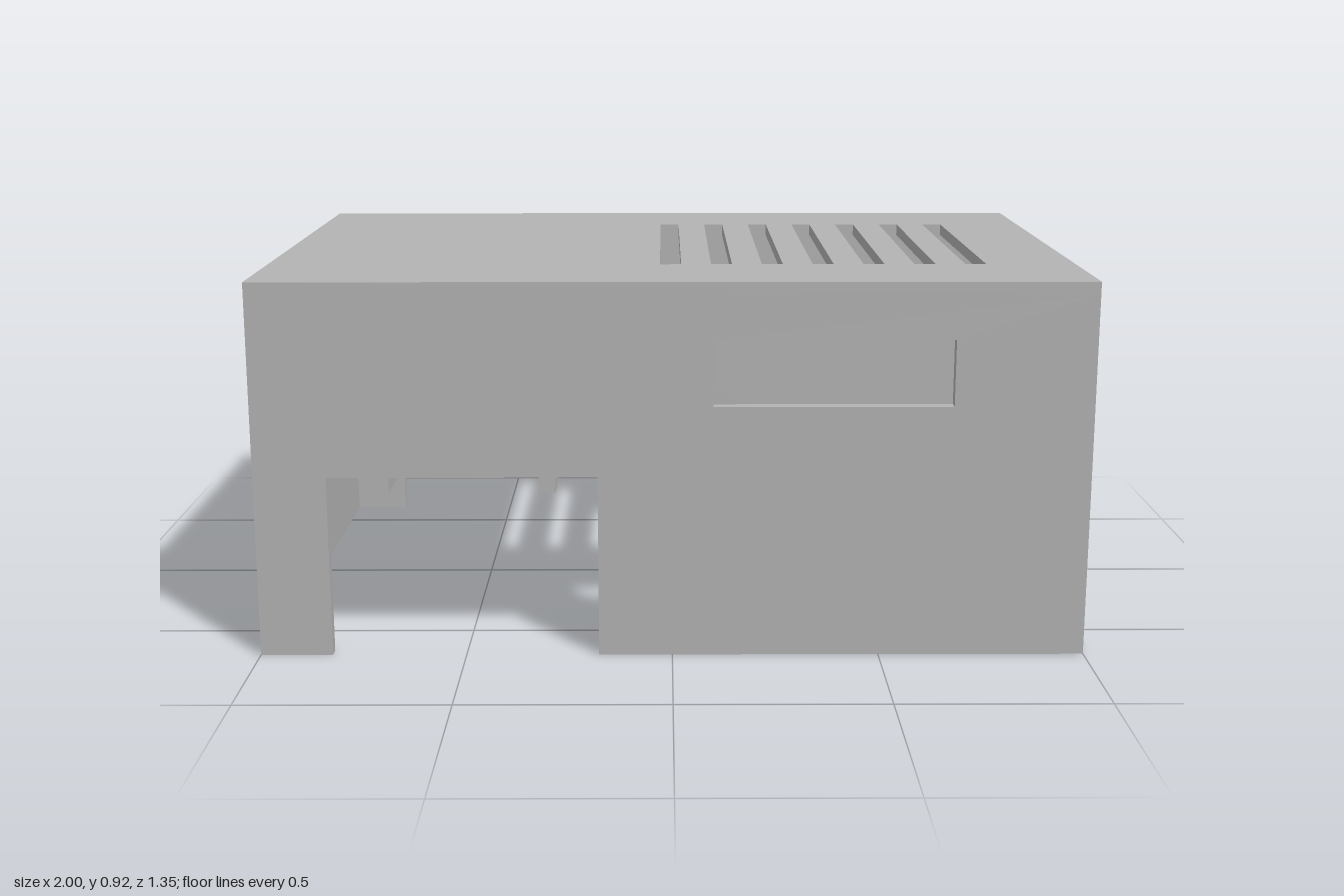
import * as THREE from 'three';

const W = 1, H = 0.915, D = 0.675, T = 0.03; // half width, height, half depth, wall

function rectPath(x0, y0, x1, y1, P = THREE.Path) {
  const p = new P();
  p.moveTo(x0, y0);
  p.lineTo(x1, y0);
  p.lineTo(x1, y1);
  p.lineTo(x0, y1);
  p.closePath();
  return p;
}
const rectShape = (x0, y0, x1, y1) => rectPath(x0, y0, x1, y1, THREE.Shape);

function circlePath(x, y, r) {
  const p = new THREE.Path();
  p.absarc(x, y, r, 0, Math.PI * 2, true);
  return p;
}

function extrude(shape, depth, holes = []) {
  shape.holes.push(...holes);
  return new THREE.ExtrudeGeometry(shape, { depth, bevelEnabled: false, curveSegments: 16 });
}

export function createModel() {
  const group = new THREE.Group();
  const grey = new THREE.MeshStandardMaterial({ color: 0xb3b3b3 });
  grey.name = 'plain grey';
  const add = (name, geometry) => {
    const mesh = new THREE.Mesh(geometry, grey);
    mesh.name = name;
    group.add(mesh);
  };

  // Top panel with seven vent slots
  const slots = [];
  for (let i = 0; i < 7; i++) {
    const x = -0.003 + i * 0.126;
    slots.push(rectPath(x - 0.026, -0.39, x + 0.026, 0.4));
  }
  add('topPanel', extrude(rectShape(-W, -D, W, D), T, slots).rotateX(-Math.PI / 2).translate(0, H - T, 0));

  // Front and back walls, each with a wheel opening; the front also has a window
  const notchedWall = () => new THREE.Shape([
    [-W, 0], [-0.825, 0], [-0.825, 0.445], [-0.178, 0.445], [-0.178, 0],
    [W, 0], [W, H - T], [-W, H - T],
  ].map(([x, y]) => new THREE.Vector2(x, y)));
  add('frontWall', extrude(notchedWall(), T, [rectPath(0.097, 0.617, 0.667, 0.778)]).translate(0, 0, D - T));
  add('backWall', extrude(notchedWall(), T).translate(0, 0, -D));

  // End walls: screwdriver holes, slot on one end, cable and mounting holes on the other
  const accessHoles = () => [-0.6, -0.345, 0.345, 0.6].map((u) => circlePath(u, 0.545, 0.04));
  const endWall = (name, holes, x) => add(name,
    extrude(rectShape(-D + T, 0, D - T, H - T), T, [...accessHoles(), ...holes])
      .rotateY(Math.PI / 2).translate(x, 0, 0));
  endWall('leftEndWall', [rectPath(-0.13, 0.65, 0.13, 0.745)], W - T);
  const mountHoles = [-0.215, 0.215].flatMap((u) => [0.275, 0.627].map((y) => circlePath(u, y, 0.016)));
  endWall('rightEndWall', [circlePath(0, 0.745, 0.056), ...mountHoles], -W);

  for (const s of [1, -1]) {
    const side = s > 0 ? 'front' : 'back';

    // Motor mount: two drilled plates, a filler block and a locating nub
    const inner = 0.3, outer = D - T;
    const u0 = s > 0 ? -outer : inner, u1 = s > 0 ? -inner : outer;
    for (const x of [-0.72, -0.32]) {
      const holes = [0.345, 0.6].map((z) => circlePath(-s * z, 0.545, 0.02));
      add(side + 'MotorPlate', extrude(rectShape(u0, 0.4, u1, H - T), 0.04, holes)
        .rotateY(Math.PI / 2).translate(x, 0, 0));
    }
    const blockY = 0.62, blockH = H - T - blockY;
    add(side + 'MotorBlock', new THREE.BoxGeometry(0.36, blockH, outer - inner)
      .translate(-0.5, blockY + blockH / 2, s * (inner + outer) / 2));
    add(side + 'MotorNub', new THREE.BoxGeometry(0.1, 0.05, 0.1).translate(-0.5, blockY - 0.025, s * 0.475));

    // Screw bosses for the base plate
    for (const x of [-0.128, 0.92]) {
      add(side + 'ScrewBoss', extrude(rectShape(-0.05, -0.05, 0.05, 0.05), 0.09, [circlePath(0, 0, 0.022)])
        .rotateX(-Math.PI / 2).translate(x, 0.03, s * (outer - 0.05)));
    }
  }
  return group;
}
